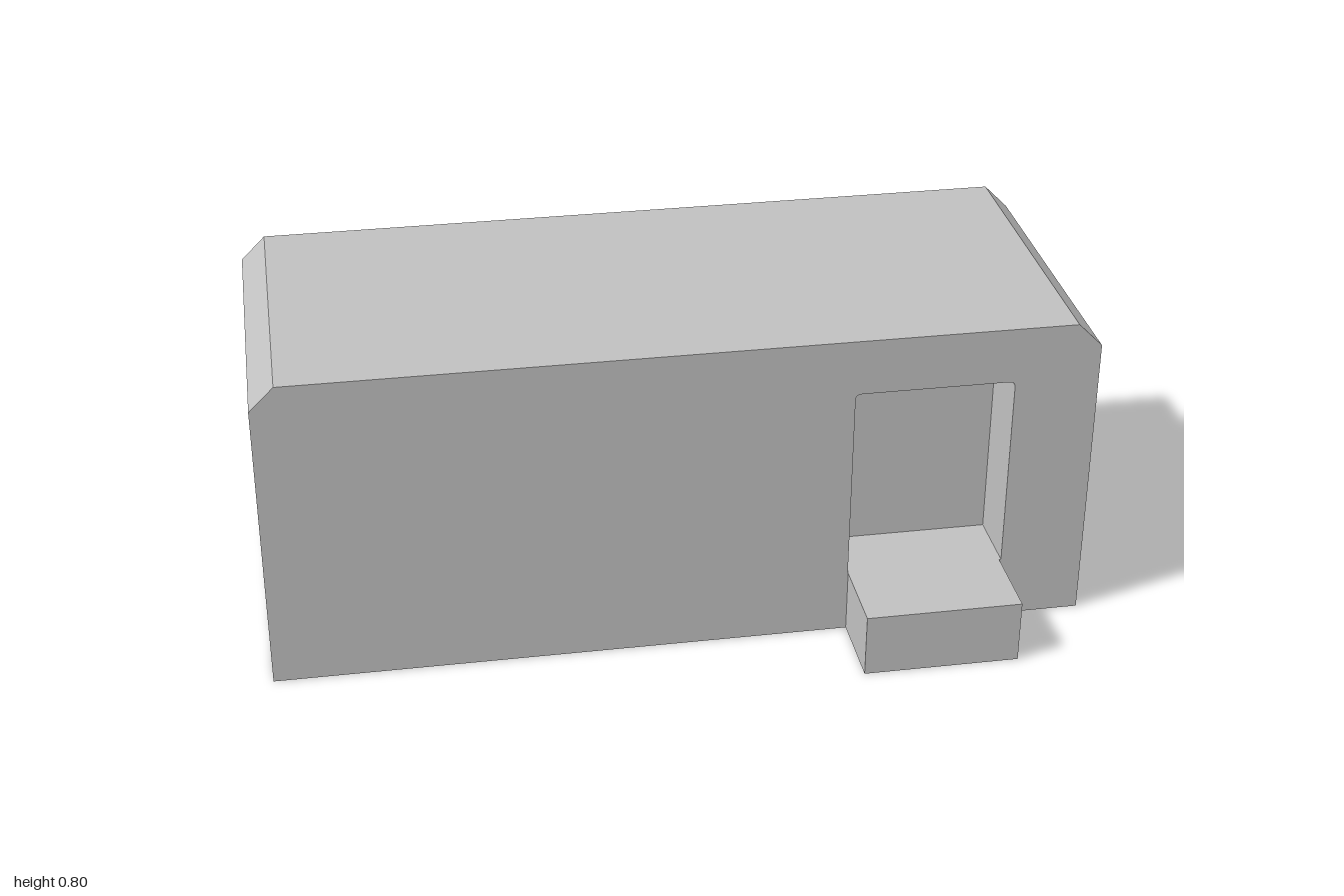
import * as THREE from 'three';

const HALF_DEPTH = 0.4, RECESS = 0.163, STEP_TOP = 0.16;

// Body outline with bevelled upper corners
function bodyShape() {
  return new THREE.Shape([
    [-1, 0], [1, 0], [1, 0.74], [0.94, 0.8], [-0.94, 0.8], [-1, 0.74],
  ].map(([x, y]) => new THREE.Vector2(x, y)));
}

// Doorway opening with small rounded upper corners
function doorHole(cx) {
  const l = cx - 0.194, r = cx + 0.194, top = 0.66, c = 0.015;
  const p = new THREE.Path();
  p.moveTo(l, STEP_TOP);
  p.lineTo(l, top - c);
  p.quadraticCurveTo(l, top, l + c, top);
  p.lineTo(r - c, top);
  p.quadraticCurveTo(r, top, r, top - c);
  p.lineTo(r, STEP_TOP);
  p.closePath();
  return p;
}

export function createModel() {
  const model = new THREE.Group();
  const grey = new THREE.MeshStandardMaterial({ color: 0xc0c0c0 });
  grey.name = 'plain grey';

  const add = (name, geometry) => {
    const mesh = new THREE.Mesh(geometry, grey);
    mesh.name = name;
    model.add(mesh);
    return mesh;
  };

  // A slice of the body between two depths, pierced by doorways
  const slice = (name, z0, z1, doors = []) => {
    const shape = bodyShape();
    shape.holes = doors.map(doorHole);
    const geometry = new THREE.ExtrudeGeometry(shape, { depth: z1 - z0, bevelEnabled: false, curveSegments: 4 });
    add(name, geometry.translate(0, 0, z0));
  };

  const inner = HALF_DEPTH - RECESS;
  const frontDoors = [0.6], backDoors = [-0.6, 0.6];
  slice('bodyCore', -inner, inner);
  slice('frontWall', inner, HALF_DEPTH, frontDoors);
  slice('backWall', -HALF_DEPTH, -inner, backDoors);

  // One step outside every doorway, level with its floor
  const step = (name, x, side) => {
    add(name, new THREE.BoxGeometry(0.382, STEP_TOP, 0.2))
      .position.set(x - 0.002, STEP_TOP / 2, side * (HALF_DEPTH + 0.1));
  };
  frontDoors.forEach((x) => step('frontStep', x, 1));
  backDoors.forEach((x) => step(x < 0 ? 'backRightStep' : 'backLeftStep', x, -1));

  return model;
}
